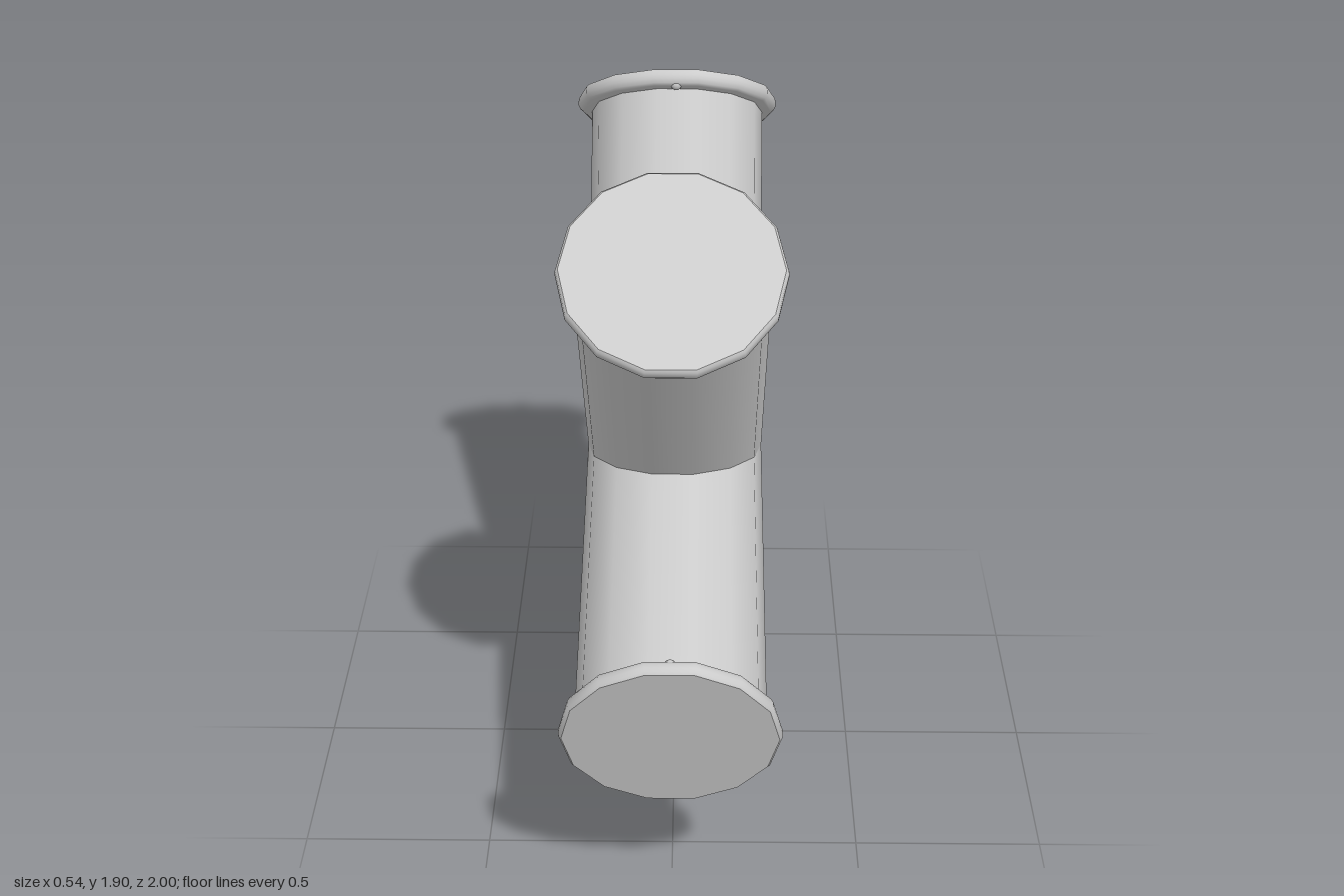
import * as THREE from 'three';

const SIDES = 14;      // sides of every pipe and flange
const LENGTH = 0.9655; // hub centre to outer face of a flange
const PIPE_R = 0.234;
const RIM_R = 0.272;

// Lathe about y with flat segments facing +z and -z
function lathe(points) {
  const profile = points.map(([r, y]) => new THREE.Vector2(r, y));
  return new THREE.LatheGeometry(profile, SIDES, Math.PI / SIDES);
}

export function createModel() {
  const model = new THREE.Group();
  const grey = new THREE.MeshStandardMaterial({ color: 0xcccccc, side: THREE.DoubleSide });

  const pipeGeo = lathe([[PIPE_R, -LENGTH + 0.02], [PIPE_R, 0]]);
  // Rounded rim running from the end face up to the pipe wall
  const rimGeo = lathe([
    [RIM_R - 0.008, 0], [RIM_R - 0.002, 0.006], [RIM_R, 0.016], [RIM_R, 0.026],
    [RIM_R - 0.005, 0.037], [RIM_R - 0.014, 0.043], [PIPE_R - 0.004, 0.044],
  ]);
  const capGeo = lathe([[0, 0], [RIM_R - 0.008, 0]]);
  const nubGeo = new THREE.SphereGeometry(0.015, 10, 8);

  function add(parent, geometry, name, y = 0, z = 0) {
    const mesh = new THREE.Mesh(geometry, grey);
    mesh.name = name;
    mesh.position.set(0, y, z);
    parent.add(mesh);
  }

  // Five equal arms meeting at the hub, fanned out in the y-z plane
  for (let i = 0; i < 5; i++) {
    const arm = new THREE.Group();
    arm.name = 'arm' + (i + 1);
    add(arm, pipeGeo, 'pipe');
    add(arm, rimGeo, 'flangeRim', -LENGTH);
    add(arm, capGeo, 'endCap', -LENGTH);
    for (const s of [-1, 1]) add(arm, nubGeo, 'flangeNub', -LENGTH + 0.037, s * 0.245);
    arm.position.y = LENGTH;
    arm.rotation.x = i * Math.PI * 2 / 5;
    model.add(arm);
  }
  return model;
}
